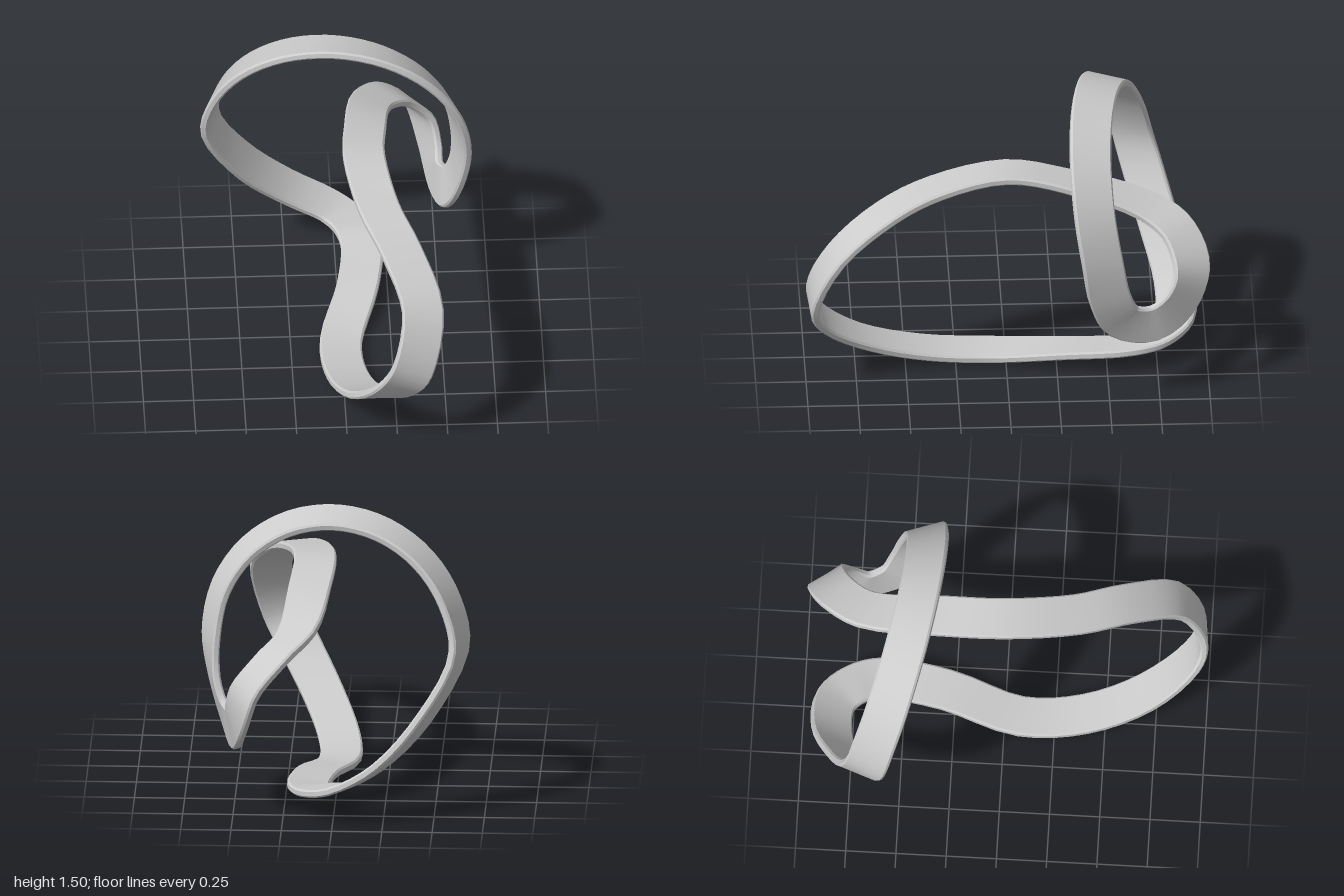
import * as THREE from 'three';
import { toCreasedNormals } from 'three/addons/utils/BufferGeometryUtils.js';

const HALF_WIDTH = 0.105, HALF_THICK = 0.02, BEVEL = 0.009;
const STEPS_PER_STATION = 4;

// Each station: centre x, y, z, then the direction across the band

// Front rise, upper arch and the small loop at the back
const ARCH = [
  [0.32, 0.52, 0.97, 0.93, -0.35, -0.1],
  [0.375, 0.8, 0.85, 0.98, -0.08, -0.2],
  [0.28, 0.98, 0.6, 0.93, 0, -0.35],
  [0.18, 1.06, 0.35, 0.95, 0, -0.25],
  [0.12, 1.11, 0, 1, 0, 0],
  [0.135, 1.06, -0.3, 1, 0, 0.08],
  [0.19, 0.94, -0.7, 0.9, -0.15, 0.4],
  [0.3, 0.86, -0.85, 0.78, -0.15, 0.6],
  [0.43, 0.71, -0.91, 0.6, 0, 0.8],
  [0.48, 0.55, -0.85, 0.4, 0.55, 0.7],
  [0.505, 0.45, -0.72, 0.15, 0.97, 0.1],
  [0.55, 0.49, -0.57, 0, 0.7, -0.7],
  [0.6, 0.64, -0.5, -0.15, 0.25, -0.95],
];

// Down from the ring, round the low bend and forward along the bottom
const RETURN_RUN = [
  [-0.45, 0.53, -0.77, 0.28, 0.22, -0.93],
  [-0.22, 0.295, -0.85, 0.24, 0.2, -0.95],
  [-0.02, 0.18, -0.84, 0.4, 0.12, -0.9],
  [0.08, 0.145, -0.75, 0.8, 0, -0.6],
  [0.13, 0.12, -0.62, 0.97, 0.1, -0.2],
  [0.1, 0.09, -0.3, 0.98, 0.05, 0.2],
  [0, 0.035, 0.08, 1, -0.05, 0.08],
  [0.02, 0.065, 0.4, 1, -0.05, -0.1],
  [0.11, 0.18, 0.7, 0.96, -0.12, -0.25],
  [0.24, 0.37, 0.92, 0.92, -0.3, -0.2],
];

// Upper half of the large ring: a circle in a tilted plane, tapering backwards
function ringStations() {
  return Array.from({ length: 9 }, (_, i) => {
    const angle = (i / 8) * Math.PI;
    const x = 0.62 * Math.cos(angle), rise = 0.615 * Math.sin(angle);
    return [
      x, 0.855 + rise, -0.565 + 0.168 * x + 0.19 * rise,
      -0.32 * Math.cos(angle), -0.2 * Math.sin(angle), -0.95,
    ];
  });
}

// Flat rectangle with bevelled corners, counter-clockwise
function bandSection() {
  const w = HALF_WIDTH, t = HALF_THICK, b = BEVEL;
  return [
    [w, -t + b], [w, t - b], [w - b, t], [-w + b, t],
    [-w, t - b], [-w, -t + b], [-w + b, -t], [w - b, -t],
  ];
}

// Sweep the section once round the closed path
function bandGeometry() {
  const stations = [...ARCH, ...ringStations(), ...RETURN_RUN];
  const closedCurve = (offset, type) => new THREE.CatmullRomCurve3(
    stations.map((s) => new THREE.Vector3().fromArray(s, offset)), true, type);
  const path = closedCurve(0, 'centripetal');
  const acrossCurve = closedCurve(3, 'catmullrom');
  const section = bandSection();
  const rings = stations.length * STEPS_PER_STATION, n = section.length;
  const positions = [], index = [];

  for (let i = 0; i < rings; i++) {
    const u = i / rings;
    const centre = path.getPoint(u);
    const along = path.getTangent(u);
    const across = acrossCurve.getPoint(u);
    across.addScaledVector(along, -across.dot(along)).normalize();
    const normal = along.clone().cross(across);
    for (const [a, b] of section) {
      const p = centre.clone().addScaledVector(across, a).addScaledVector(normal, b);
      positions.push(p.x, p.y, p.z);
    }
    const next = (i + 1) % rings;
    for (let j = 0; j < n; j++) {
      const k = (j + 1) % n;
      const a = i * n + j, b = i * n + k, c = next * n + k, d = next * n + j;
      index.push(a, b, d, b, c, d);
    }
  }

  const geometry = new THREE.BufferGeometry();
  geometry.setAttribute('position', new THREE.Float32BufferAttribute(positions, 3));
  geometry.setIndex(index);
  return toCreasedNormals(geometry, 0.6);
}

export function createModel() {
  const model = new THREE.Group();
  model.name = 'loopedBandSculpture';
  const band = new THREE.Mesh(
    bandGeometry(), new THREE.MeshStandardMaterial({ color: 0xcccccc }));
  band.name = 'band';
  model.add(band);
  return model;
}
